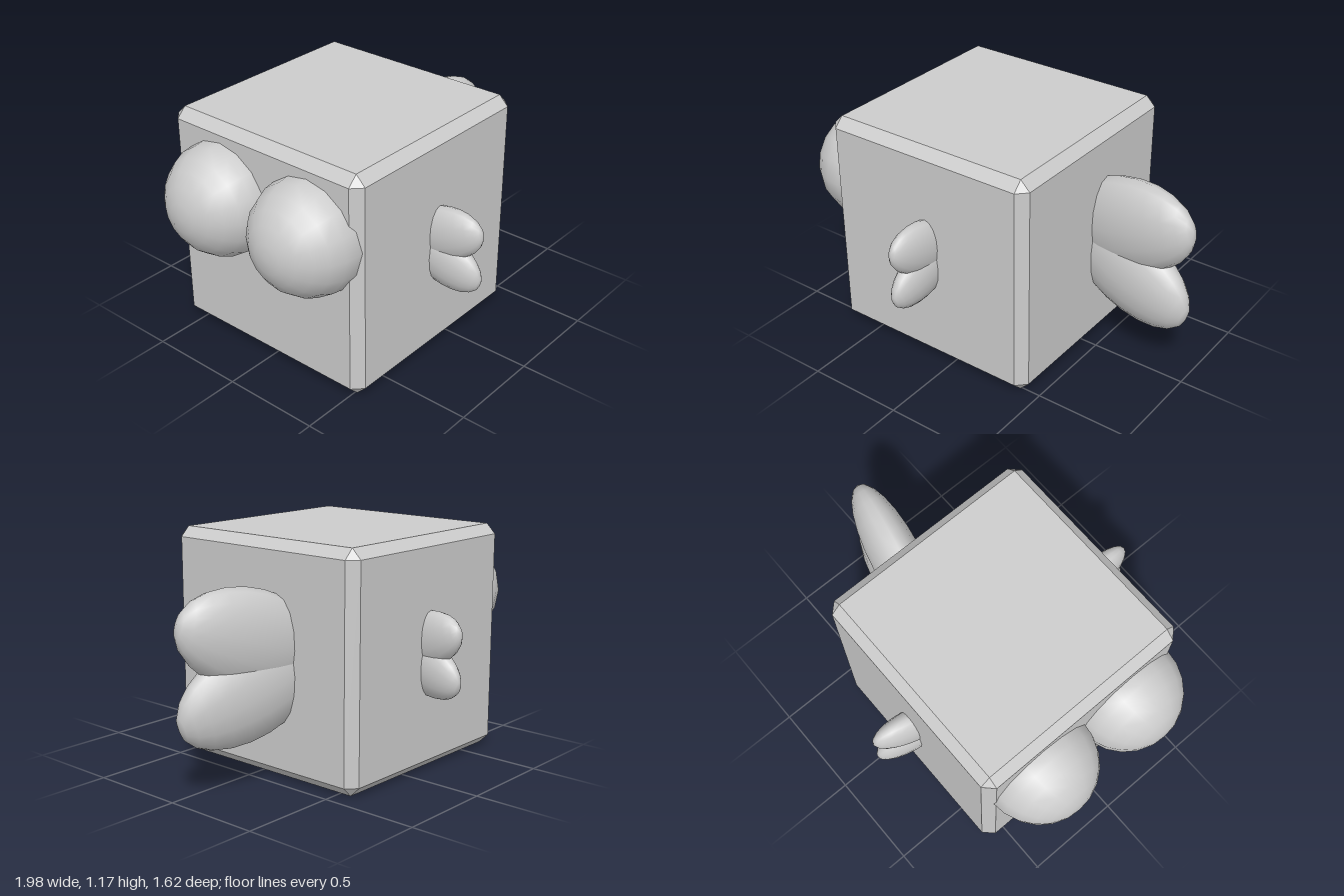
import * as THREE from 'three';
import { ConvexGeometry } from 'three/addons/geometries/ConvexGeometry.js';

const grey = new THREE.MeshStandardMaterial({ color: 0xcccccc });

// Cube with every edge chamfered: hull of three points per corner
function chamferedCube(half, chamfer) {
  const inner = half - chamfer;
  const points = [];
  for (const x of [-1, 1]) for (const y of [-1, 1]) for (const z of [-1, 1]) {
    points.push(
      new THREE.Vector3(x * half, y * inner, z * inner),
      new THREE.Vector3(x * inner, y * half, z * inner),
      new THREE.Vector3(x * inner, y * inner, z * half)
    );
  }
  return new ConvexGeometry(points);
}

// Two-lobed fin pointing along +x, centred on its root
function createFin(name, size, position, turn) {
  const fin = new THREE.Group();
  fin.name = name;
  const geometry = new THREE.SphereGeometry(1, 16, 12);
  geometry.rotateZ(-Math.PI / 2);
  geometry.scale(0.42, 0.245, 0.13);
  for (const side of [1, -1]) {
    const lobe = new THREE.Mesh(geometry, grey);
    lobe.name = side > 0 ? 'upperLobe' : 'lowerLobe';
    lobe.position.y = side * 0.118;
    lobe.rotation.z = side * 0.314;
    fin.add(lobe);
  }
  fin.scale.setScalar(size);
  fin.position.set(...position);
  fin.rotation.y = turn;
  return fin;
}

export function createModel() {
  const model = new THREE.Group();
  model.name = 'cubeFish';

  // Body
  const body = new THREE.Mesh(chamferedCube(0.585, 0.05), grey);
  body.name = 'body';
  body.position.set(-0.143, 0.585, -0.025);
  model.add(body);

  // Bulging eyes on the -x face
  const eyeGeometry = new THREE.SphereGeometry(0.29, 16, 12);
  eyeGeometry.rotateZ(Math.PI / 2);
  for (const [name, z] of [['frontEye', 0.265], ['backEye', -0.28]]) {
    const eye = new THREE.Mesh(eyeGeometry, grey);
    eye.name = name;
    eye.position.set(-0.71, 0.793, z);
    model.add(eye);
  }

  // Tail and the two smaller side fins
  model.add(
    createFin('tailFin', 1, [0.585, 0.594, -0.11], -0.187),
    createFin('frontFin', 0.566, [-0.135, 0.595, 0.58], -Math.PI / 2),
    createFin('backFin', 0.566, [-0.147, 0.595, -0.585], Math.PI / 2 - 0.17)
  );

  return model;
}
